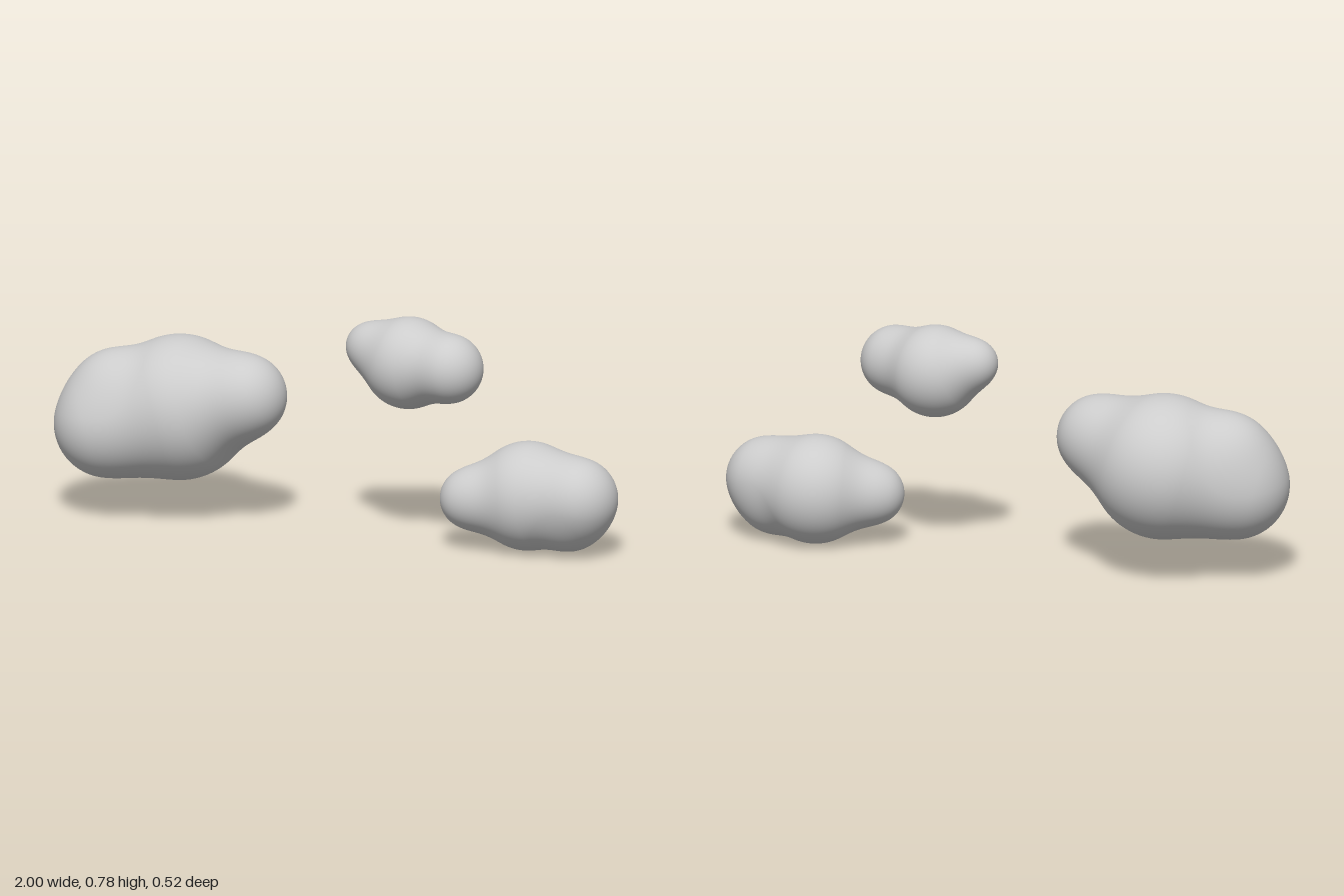
import * as THREE from 'three';

const cloudGrey = new THREE.MeshStandardMaterial({ color: 0xcccccc });
cloudGrey.name = 'cloudGrey';

// Each cloud: puffs as [x, y, z, radius], the main puff first
const clouds = {
  largeCloud: [
    [-0.58, 0.385, -0.013, 0.248],
    [-0.814, 0.325, 0.045, 0.186],
    [-0.335, 0.455, 0.04, 0.145],
    [-0.81, 0.457, 0.025, 0.103],
  ],
  smallCloud: [
    [0.26, 0.627, 0.078, 0.157],
    [0.421, 0.635, 0.144, 0.119],
    [0.116, 0.67, 0.06, 0.081],
  ],
  mediumCloud: [
    [0.675, 0.187, 0.049, 0.186],
    [0.858, 0.2, 0.092, 0.142],
    [0.485, 0.175, 0.095, 0.105],
    [0.835, 0.113, 0.073, 0.085],
  ],
};

// Distance to the softly merged puffs; k is the width of the blend
function distanceTo(puffs, k, x, y, z) {
  let d = Infinity;
  for (const [px, py, pz, r] of puffs) {
    const e = Math.hypot(x - px, y - py, z - pz) - r;
    const h = Math.max(k - Math.abs(d - e), 0) / k;
    d = Math.min(d, e) - h * h * k * 0.25;
  }
  return d;
}

// Shrink a fine ball onto the merged surface, along rays from the main puff
function makeCloud(name, puffs) {
  const [cx, cy, cz, mainRadius] = puffs[0];
  const k = mainRadius * 0.45;
  const field = (x, y, z) => distanceTo(puffs, k, x, y, z);
  const geometry = new THREE.IcosahedronGeometry(1, 38);
  const position = geometry.attributes.position;
  const normal = geometry.attributes.normal;
  const dir = new THREE.Vector3();
  const p = new THREE.Vector3();
  const n = new THREE.Vector3();
  const e = 0.0005;
  for (let i = 0; i < position.count; i++) {
    dir.fromBufferAttribute(position, i).normalize();
    let t = 0.7;
    for (let step = 0; step < 90; step++) {
      p.set(cx, cy, cz).addScaledVector(dir, t);
      const d = field(p.x, p.y, p.z);
      if (d < 0.0001) break;
      t -= d;
    }
    position.setXYZ(i, p.x, p.y, p.z);
    // Smooth normal from the slope of the field
    n.set(
      field(p.x + e, p.y, p.z) - field(p.x - e, p.y, p.z),
      field(p.x, p.y + e, p.z) - field(p.x, p.y - e, p.z),
      field(p.x, p.y, p.z + e) - field(p.x, p.y, p.z - e)
    ).normalize();
    normal.setXYZ(i, n.x, n.y, n.z);
  }
  const mesh = new THREE.Mesh(geometry, cloudGrey);
  mesh.name = name;
  return mesh;
}

export function createModel() {
  const group = new THREE.Group();
  group.name = 'clouds';
  for (const [name, puffs] of Object.entries(clouds)) group.add(makeCloud(name, puffs));
  return group;
}
